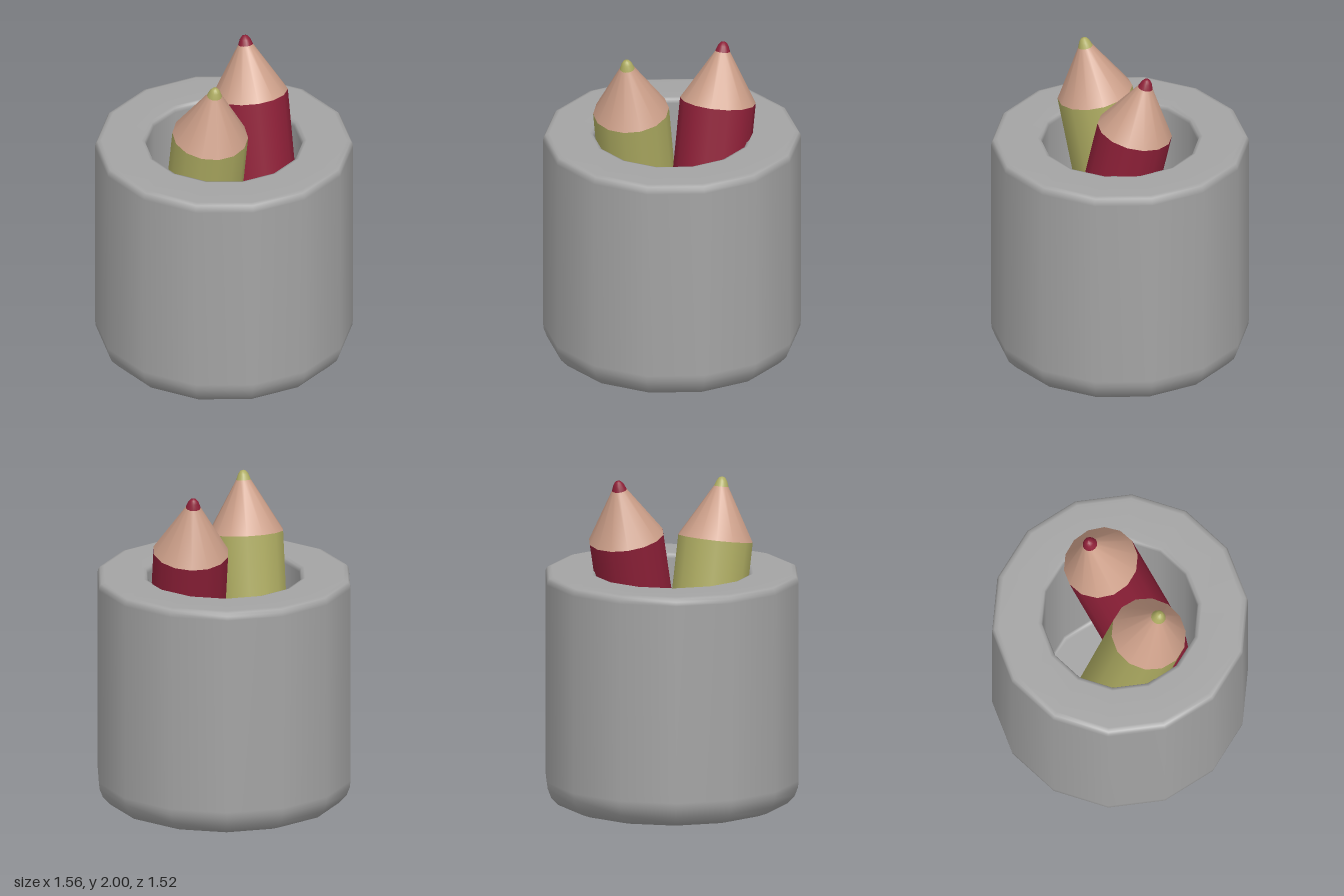
import * as THREE from 'three';

const SIDES = 14;

function material(name, color) {
  const m = new THREE.MeshStandardMaterial({ color });
  m.name = name;
  return m;
}

// Revolves a profile of [radius, height] pairs, with a corner on the x axis
function turned(name, profile, mat) {
  const points = profile.map(([r, y]) => new THREE.Vector2(r, y));
  const mesh = new THREE.Mesh(new THREE.LatheGeometry(points, SIDES, Math.PI / 2), mat);
  mesh.name = name;
  return mesh;
}

// Pencil whose origin is the shoulder between painted body and sharpened wood
function pencil(name, shoulder, tip, paint, wood) {
  const group = new THREE.Group();
  group.name = name;
  const axis = new THREE.Vector3(...tip).sub(new THREE.Vector3(...shoulder));
  const h = axis.length();
  const r = 0.23;
  const bottom = -1.5;

  group.add(
    turned('pencilBody', [[r, bottom], [r, 0]], paint),
    turned('pencilEnd', [[0, bottom], [r, bottom]], paint),
    turned('sharpenedWood', [[r, 0], [0.045, h - 0.06]], wood),
    turned('pencilTip', [[0.045, h - 0.06], [0.032, h - 0.025], [0.018, h - 0.006], [0, h]], paint),
  );
  group.position.set(...shoulder);
  group.quaternion.setFromUnitVectors(new THREE.Vector3(0, 1, 0), axis.normalize());
  return group;
}

export function createModel() {
  const grey = material('cupGrey', 0xa4a4a4);
  const wood = material('wood', 0xcb9e88);
  const yellow = material('yellowPaint', 0xaeac62);
  const red = material('redPaint', 0x8e2038);

  const model = new THREE.Group();
  model.name = 'pencilCup';

  // Thick-walled cup with rounded base and softly bevelled rim
  const cup = turned('cup', [
    [0, 0], [0.62, 0], [0.65, 0.004], [0.71, 0.027], [0.755, 0.075], [0.776, 0.13], [0.78, 0.17],
    [0.78, 1.39], [0.777, 1.415], [0.765, 1.432], [0.74, 1.44],
    [0.50, 1.44], [0.48, 1.433], [0.47, 1.41],
    [0.47, 0.14], [0.46, 0.12], [0.44, 0.12], [0, 0.12],
  ], grey);
  model.add(cup);

  // Two pencils leaning in opposite directions
  model.add(
    pencil('yellowPencil', [-0.25, 1.63, 0.092], [-0.28, 2.0, 0.155], yellow, wood),
    pencil('redPencil', [0.278, 1.64, -0.02], [0.315, 2.0, -0.09], red, wood),
  );
  return model;
}
